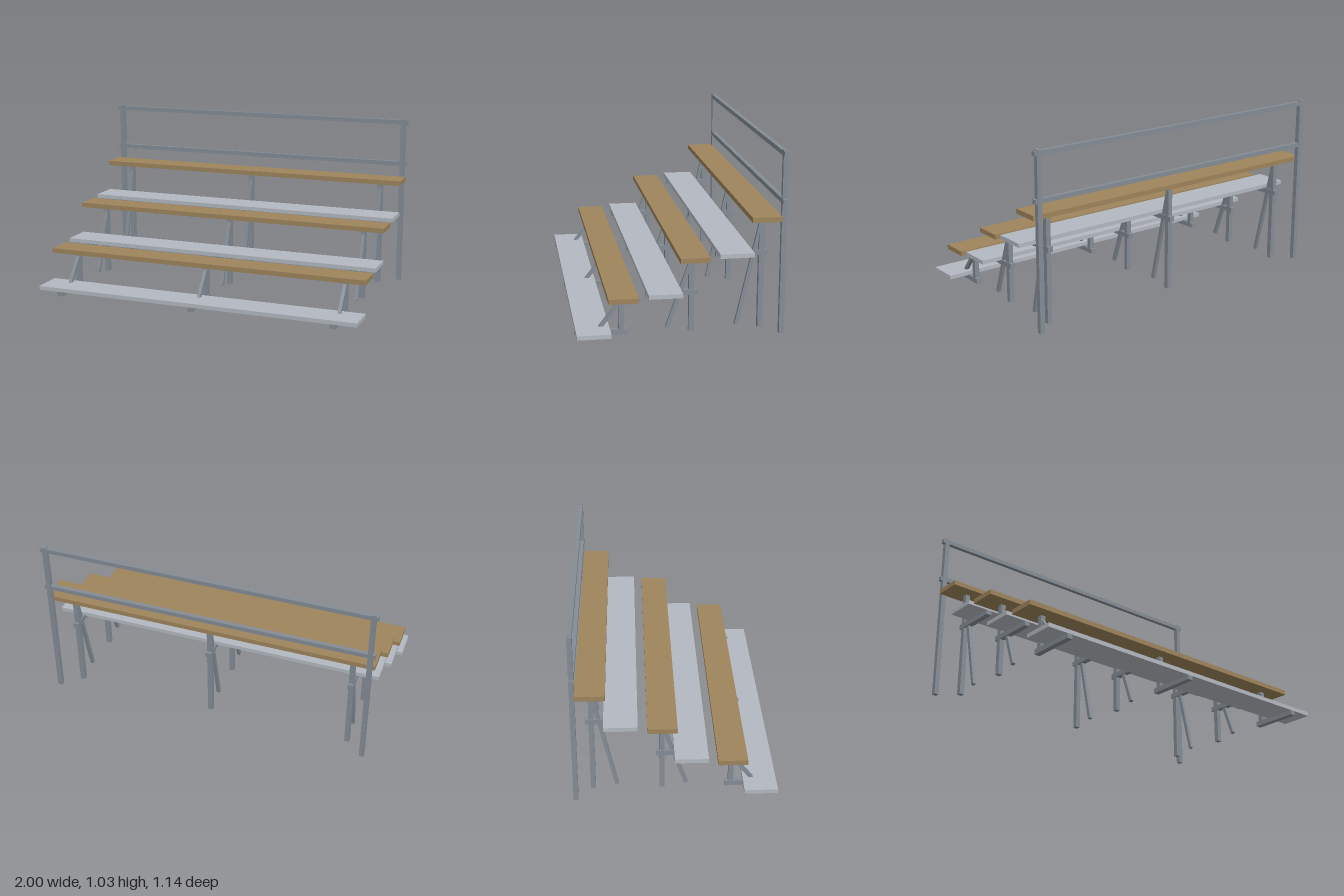
import * as THREE from 'three';

const wood = new THREE.MeshStandardMaterial({ color: 0x9e845c });
wood.name = 'wood';
const aluminium = new THREE.MeshStandardMaterial({ color: 0xb4b9c1 });
aluminium.name = 'aluminium';
const steel = new THREE.MeshStandardMaterial({ color: 0x848c95 });
steel.name = 'steel';

// Box given by its [min, max] extent on each axis
function box(name, material, [x0, x1], [y0, y1], [z0, z1]) {
  const mesh = new THREE.Mesh(new THREE.BoxGeometry(x1 - x0, y1 - y0, z1 - z0), material);
  mesh.position.set((x0 + x1) / 2, (y0 + y1) / 2, (z0 + z1) / 2);
  mesh.name = name;
  return mesh;
}

// Slanted square bar in the y-z plane
function brace(x, y0, z0, y1, z1) {
  const dy = y1 - y0, dz = z1 - z0;
  const mesh = new THREE.Mesh(new THREE.BoxGeometry(0.02, Math.hypot(dy, dz), 0.021), steel);
  mesh.position.set(x, (y0 + y1) / 2, (z0 + z1) / 2);
  mesh.rotation.x = Math.atan2(dz, dy);
  mesh.name = 'brace';
  return mesh;
}

const around = (c, w) => [c - w / 2, c + w / 2];

// One row: seat plank, foot plank and three support frames
function createTier(i) {
  const tier = new THREE.Group();
  tier.name = `tier${i + 1}`;
  const rise = i * 0.2115, back = i * 0.39;
  const z = (a, b) => [a - back, b - back];
  tier.add(
    box('seatPlank', wood, [-1, 1], [0.219 + rise, 0.247 + rise], z(0.234, 0.399)),
    box('footPlank', aluminium, [-1, 1], [0.026 + rise, 0.05 + rise], z(0.384, 0.572)),
  );
  for (const x of [-0.86, 0, 0.86]) {
    const frame = new THREE.Group();
    frame.name = 'supportFrame';
    frame.add(
      box('post', steel, around(x, 0.029), [0, 0.219 + rise], z(0.302, 0.331)),
      box('footBeam', steel, around(x, 0.033), [rise, 0.03 + rise], z(0.284, 0.5715)),
      brace(x, 0.022, 0.452 - back, 0.195 + rise, 0.317 - back),
    );
    tier.add(frame);
  }
  return tier;
}

// Guard rail along the back
function createRailing() {
  const railing = new THREE.Group();
  railing.name = 'railing';
  const zc = -0.558;
  for (const side of [-1, 1]) {
    railing.add(box('railPost', steel, around(side * 0.972, 0.028), [0, 1.032], around(zc, 0.028)));
  }
  for (const y of [0.751, 1.012]) {
    railing.add(box('rail', steel, [-1, 1], around(y, 0.026), around(zc, 0.026)));
  }
  return railing;
}

export function createModel() {
  const model = new THREE.Group();
  model.name = 'bleachers';
  for (let i = 0; i < 3; i++) model.add(createTier(i));
  model.add(createRailing());
  return model;
}
